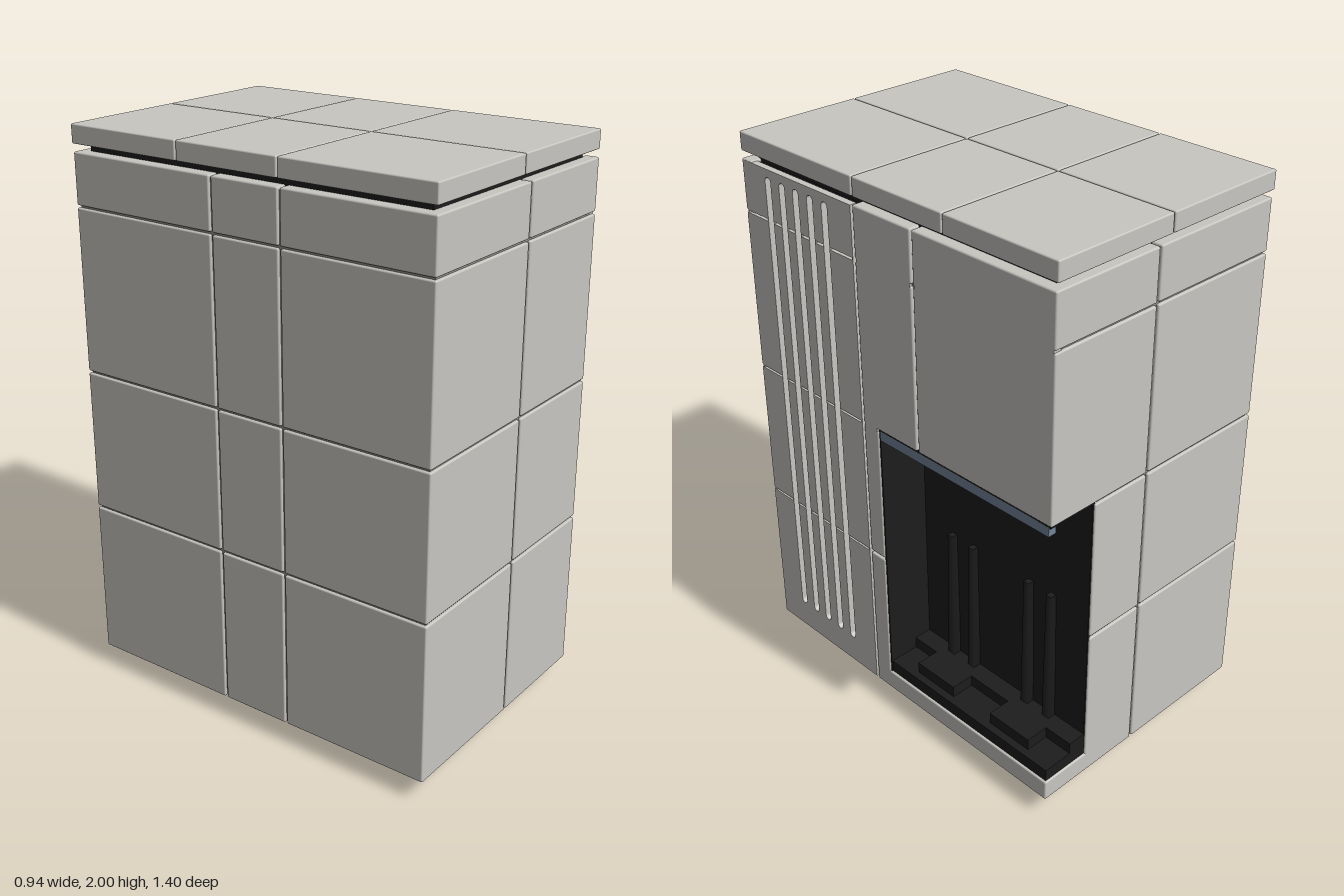
import * as THREE from 'three';
import { RoundedBoxGeometry } from 'three/addons/geometries/RoundedBoxGeometry.js';

const material = (name, color) => Object.assign(new THREE.MeshStandardMaterial({ color }), { name });

export function createModel() {
  const model = new THREE.Group();
  model.name = 'panelledCabinet';
  const shell = material('pale grey shell', 0xc8c6c1);
  const seam = material('seam grey', 0x8f8e8a);
  const black = material('black plastic', 0x1d1d1d);
  const steel = material('blue grey steel', 0x74859a);

  const group = (name) => {
    const g = new THREE.Group();
    g.name = name;
    model.add(g);
    return g;
  };
  // Box given by its limits along each axis; optional rounded edges
  const box = (parent, name, mat, [x0, x1], [y0, y1], [z0, z1], radius = 0) => {
    const size = [x1 - x0, y1 - y0, z1 - z0];
    const geo = radius ? new RoundedBoxGeometry(...size, 2, radius) : new THREE.BoxGeometry(...size);
    const mesh = new THREE.Mesh(geo, mat);
    mesh.name = name;
    mesh.position.set((x0 + x1) / 2, (y0 + y1) / 2, (z0 + z1) / 2);
    parent.add(mesh);
    return mesh;
  };

  const R = 0.006;
  const layers = [[0.075, 0.641], [0.649, 1.151], [1.159, 1.726], [1.734, 1.91]];
  const seams = [0.645, 1.155, 1.73];
  const depths = [[-0.695, -0.119], [-0.111, 0.146], [0.154, 0.7]];
  const leftX = [-0.47, 0.041], rightX = [0.049, 0.47];
  const alcoveX = 0.28, alcoveZ = 0.075;

  // Core that closes the seams between panels
  const body = group('body');
  box(body, 'innerCore', seam, [-0.46, 0.27], [0.08, 1.9], [-0.685, 0.69]);
  box(body, 'upperCore', seam, [0.27, 0.46], [1.165, 1.9], [-0.685, 0.15]);
  box(body, 'frontCore', seam, [0.27, 0.46], [0.08, 1.9], [0.665, 0.69]);

  // Cladding blocks, layer by layer
  layers.forEach((y, i) => {
    for (const z of depths) box(body, 'leftPanel', shell, leftX, y, z, R);
    box(body, 'frontRightPanel', shell, rightX, y, [0.65, 0.7], R);
    if (i < 2) {
      box(body, 'backPanel', shell, [0.049, alcoveX], y, [-0.695, 0.146], R);
      box(body, 'alcovePillar', shell, [0.26, 0.47], y, [alcoveZ, 0.146], R);
    } else {
      for (const z of depths.slice(0, 2)) box(body, 'upperRightPanel', shell, rightX, y, z, R);
    }
  });
  // The upper right panels run unbroken over the top seam, the pillar over the middle one
  for (const [z0, z1] of depths.slice(0, 2))
    box(body, 'upperRightJoin', shell, [0.44, 0.47], [1.715, 1.745], [z0 + R, z1 - R]);
  box(body, 'pillarJoin', shell, [0.44, 0.47], [1.14, 1.17], [alcoveZ + R, 0.14]);
  box(body, 'alcoveFloor', shell, [0.26, 0.47], [0.075, 0.15], [-0.695, 0.09], R);

  // Vent panel: shape drawn in (-z, y), with round-ended slots and seam slits
  const vents = group('ventPanel');
  const rect = (path, a, b, c, d) => path.moveTo(a, c).lineTo(b, c).lineTo(b, d).lineTo(a, d).closePath();
  const panel = rect(new THREE.Shape(), -0.69, -0.154, 0.079, 1.906);
  const slotZ = [0.567, 0.495, 0.425, 0.354, 0.282], r = 0.014;
  for (const z of slotZ) {
    const slot = new THREE.Path();
    slot.absarc(-z, 1.865, r, 0, Math.PI, false);
    slot.absarc(-z, 0.198, r, Math.PI, Math.PI * 2, false);
    slot.closePath();
    panel.holes.push(slot);
  }
  const stops = [0.7, ...slotZ, 0.143];
  for (const y of seams)
    for (let i = 0; i < stops.length - 1; i++)
      panel.holes.push(rect(new THREE.Path(), -stops[i] + r + 0.002, -stops[i + 1] - r - 0.002, y - 0.004, y + 0.004));
  const slotted = new THREE.Mesh(
    new THREE.ExtrudeGeometry(panel, { depth: 0.025, bevelEnabled: false, curveSegments: 8 }), shell);
  slotted.name = 'slottedPanel';
  slotted.rotation.y = Math.PI / 2;
  slotted.position.x = 0.445;
  vents.add(slotted);
  box(vents, 'ventBacking', black, [0.27, 0.435], [0.08, 1.9], [0.155, 0.655]);

  // Dark lining of the open corner alcove
  const alcove = group('alcove');
  box(alcove, 'innerWall', black, [alcoveX - 0.005, alcoveX + 0.004], [0.15, 1.155], [-0.688, alcoveZ]);
  box(alcove, 'frontWall', black, [alcoveX, 0.465], [0.15, 1.155], [alcoveZ - 0.005, alcoveZ + 0.002]);
  box(alcove, 'ceiling', black, [alcoveX, 0.465], [1.15, 1.162], [-0.688, alcoveZ]);
  box(alcove, 'ceilingRail', steel, [0.435, 0.465], [1.118, 1.153], [-0.68, alcoveZ - 0.005]);
  box(alcove, 'railBracket', steel, [0.31, 0.44], [1.103, 1.125], [-0.14, -0.105]);
  box(alcove, 'tray', black, [alcoveX, 0.462], [0.15, 0.195], [-0.688, 0.07]);
  box(alcove, 'trayStep', black, [alcoveX, 0.35], [0.195, 0.237], [-0.688, 0.07]);
  for (const z of [-0.13, -0.49]) {
    box(alcove, 'cradle', black, [0.35, 0.435], [0.195, 0.237], [z - 0.09, z + 0.09]);
    for (const side of [-0.05, 0.05]) {
      const post = new THREE.Mesh(new THREE.CylinderGeometry(0.016, 0.022, 0.52, 4), black);
      post.name = 'guidePost';
      post.geometry.rotateY(Math.PI / 4);
      post.position.set(0.298, 0.48, z + side);
      alcove.add(post);
    }
  }

  // Lid made of six slabs over a recessed neck
  const lid = group('lid');
  box(lid, 'neck', black, [-0.43, 0.43], [1.9, 1.94], [-0.655, 0.66]);
  box(lid, 'lidCore', seam, [-0.46, 0.46], [1.94, 1.99], [-0.69, 0.69]);
  for (const x of [[-0.47, -0.002], [0.002, 0.47]])
    for (const z of [[-0.7, -0.252], [-0.248, 0.143], [0.147, 0.7]])
      box(lid, 'lidSlab', shell, x, [1.935, 2], z, 0.005);

  // Plinth: six black plates carried by steel feet and dark beams
  const plinth = group('plinth');
  box(plinth, 'undersidePlate', black, [-0.44, 0.44], [0.07, 0.08], [-0.665, 0.67]);
  for (const [x0, x1] of [[-0.36, 0.037], [0.053, 0.37]])
    for (const [z0, z1] of [[-0.615, -0.123], [-0.107, 0.142], [0.158, 0.612]]) {
      box(plinth, 'basePlate', black, [x0, x1], [0.004, 0.03], [z0, z1]);
      box(plinth, 'beam', black, [x0 + 0.01, x1 - 0.02], [0.03, 0.072], [z0 + 0.02, z1 - 0.07]);
      const outer = x0 < 0 ? [x0 + 0.01, x0 + 0.075] : [x1 - 0.075, x1 - 0.005];
      box(plinth, 'steelFoot', steel, outer, [0.03, 0.074], [z1 - 0.065, z1 - 0.002]);
      const pad = x0 < 0 ? [x0 + 0.02, x0 + 0.06] : [x1 - 0.06, x1 - 0.02];
      box(plinth, 'footPad', seam, pad, [0, 0.005], [z1 - 0.06, z1 - 0.02]);
    }
  box(plinth, 'sideBeam', black, [-0.41, -0.36], [0.05, 0.072], [-0.6, 0.6]);
  return model;
}
